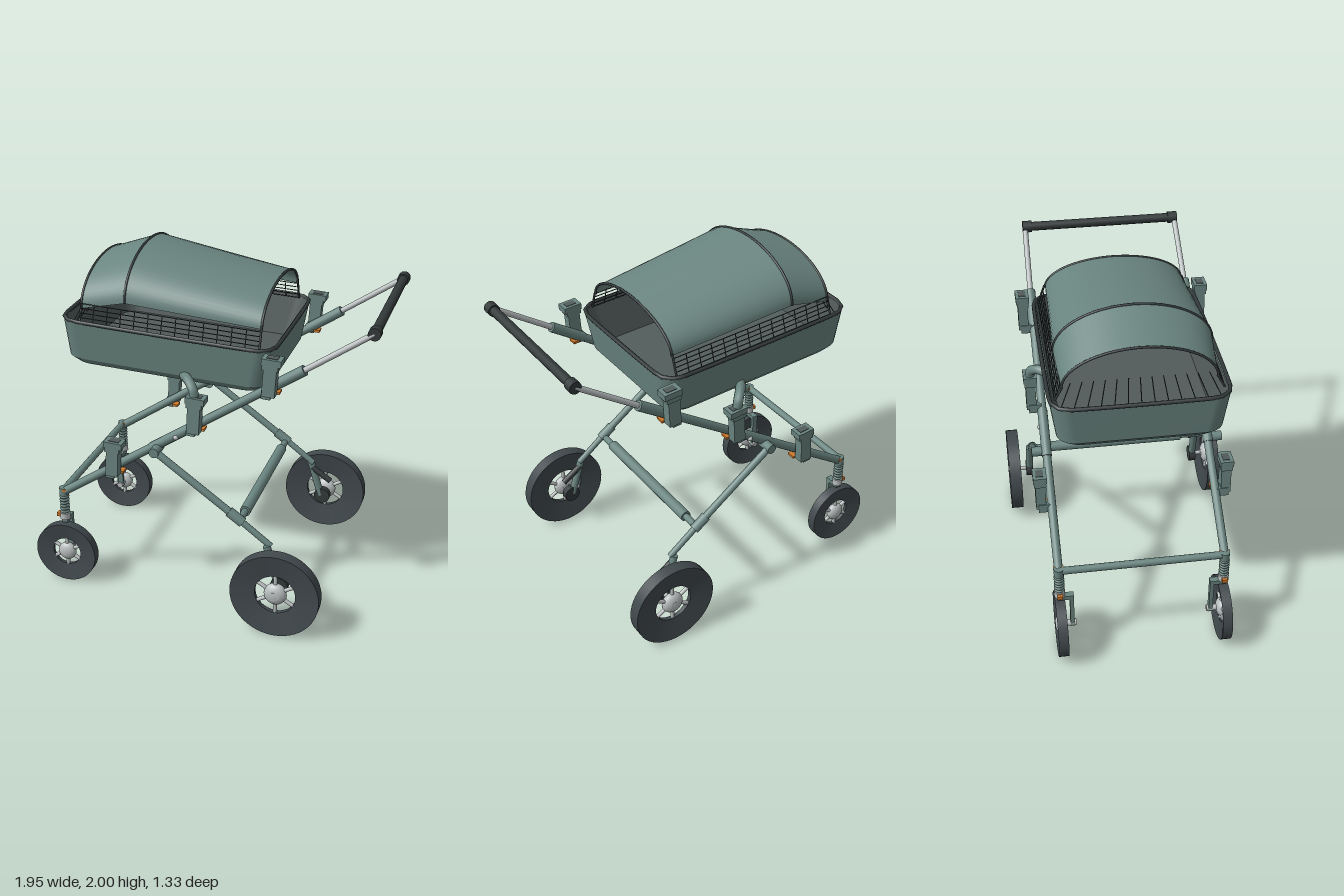
import * as THREE from 'three';

const mat = (name, color, side = THREE.FrontSide) => {
  const m = new THREE.MeshStandardMaterial({ color, side });
  m.name = name;
  return m;
};

export function createModel() {
  const root = new THREE.Group();
  root.name = 'stroller';
  const green = mat('sage green', 0x6a8580);
  const cloth = mat('sage cloth', 0x6a8580, THREE.DoubleSide);
  const lining = mat('dark lining', 0x525c5b, THREE.DoubleSide);
  const rubber = mat('tyre rubber', 0x41494d);
  const black = mat('black trim', 0x33393a);
  const metal = mat('light metal', 0xb9bebe);
  const orange = mat('orange', 0xd07a2c);

  const V = (x, y, z) => new THREE.Vector3(x, y, z);
  const add = (name, geo, m, parent = root) => {
    const mesh = new THREE.Mesh(geo, m);
    mesh.name = name;
    parent.add(mesh);
    return mesh;
  };
  // round bar between two points
  const bar = (name, a, b, r, m, parent = root, r2 = r, seg = 14) => {
    const d = b.clone().sub(a);
    const mesh = add(name, new THREE.CylinderGeometry(r2, r, d.length(), seg), m, parent);
    mesh.position.copy(a).addScaledVector(d, 0.5);
    mesh.quaternion.setFromUnitVectors(V(0, 1, 0), d.normalize());
    return mesh;
  };
  const box = (name, size, pos, m, parent = root) => {
    const mesh = add(name, new THREE.BoxGeometry(...size), m, parent);
    mesh.position.set(...pos);
    return mesh;
  };
  const ball = (name, r, pos, m, parent = root) => {
    const mesh = add(name, new THREE.SphereGeometry(r, 18, 12), m, parent);
    mesh.position.set(...pos);
    return mesh;
  };
  // surface through equal-length rows of points
  const loft = (rows) => {
    const n = rows[0].length, pos = [], idx = [];
    rows.forEach((row) => row.forEach((p) => pos.push(p.x, p.y, p.z)));
    for (let j = 0; j < rows.length - 1; j++) for (let i = 0; i < n - 1; i++) {
      const a = j * n + i, b = a + n;
      idx.push(a, b, a + 1, b, b + 1, a + 1);
    }
    const g = new THREE.BufferGeometry();
    g.setAttribute('position', new THREE.Float32BufferAttribute(pos, 3));
    g.setIndex(idx);
    g.computeVertexNormals();
    return g;
  };
  const tube = (name, pts, r, m, closed = false, parent = root) =>
    add(name, new THREE.TubeGeometry(new THREE.CatmullRomCurve3(pts, closed), 64, r, 8, closed), m, parent);

  // ---- tub: rounded rectangle sections, slightly tilted
  const tub = new THREE.Group();
  tub.name = 'tub';
  tub.position.set(-0.185, 1.355, 0);
  tub.rotation.z = -0.048;
  root.add(tub);
  const ring = (y, hx, hz, r) => {
    const pts = [];
    [[1, 1], [-1, 1], [-1, -1], [1, -1]].forEach(([sx, sz], q) => {
      for (let k = 0; k <= 6; k++) {
        const a = (q + k / 6) * Math.PI / 2;
        pts.push(V(sx * (hx - r) + r * Math.cos(a), y, sz * (hz - r) + r * Math.sin(a)));
      }
    });
    pts.push(pts[0].clone());
    return pts;
  };
  const low = ring(0, 0.535, 0.4, 0.1), mid = ring(0.035, 0.57, 0.43, 0.1), top = ring(0.255, 0.595, 0.46, 0.1);
  add('tubWall', loft([mid, top]), cloth, tub);
  add('tubChamfer', loft([low, mid]), cloth, tub);
  add('tubBottom', loft([low.map(() => V(0, 0, 0)), low]), cloth, tub);
  const inLow = ring(0.02, 0.53, 0.395, 0.09), inTop = ring(0.255, 0.58, 0.445, 0.09);
  add('tubLining', loft([inLow, inTop]), lining, tub);
  add('tubFloor', loft([inLow.map(() => V(0, 0.02, 0)), inLow]), lining, tub);
  tube('tubRim', ring(0.256, 0.592, 0.456, 0.1).slice(0, -1), 0.011, black, true, tub);

  // ---- hood: half-ellipse arches with trim
  const arch = (x, base, peak, w) => Array.from({ length: 33 }, (_, i) => {
    const a = Math.PI * i / 32;
    return V(x, base + (peak - base) * Math.sin(a), w * Math.cos(a));
  });
  const arches = [arch(-0.655, 1.69, 1.9, 0.395), arch(-0.4, 1.75, 1.99, 0.41), arch(0.345, 1.68, 1.845, 0.385)];
  add('hoodFront', loft([arches[0], arches[1]]), cloth);
  add('hoodBack', loft([arches[1], arches[2]]), cloth);
  arches.forEach((a) => tube('hoodTrim', a, 0.007, black));

  // ---- wire net below the hood
  const wire = (a, b) => bar('netWire', a, b, 0.0028, black, root, 0.0028, 5);
  const rimY = (x) => 1.602 - 0.048 * (x + 0.165);
  for (const s of [-1, 1]) {
    const at = (x, t) => V(x, rimY(x) + 0.095 * t, s * (0.43 - 0.03 * t));
    for (let k = 0; k < 5; k++) wire(at(-0.655, k / 4), at(0.345, k / 4));
    for (let k = 0; k <= 13; k++) wire(at(-0.655 + k / 13, 0), at(-0.655 + k / 13, 1));
    for (const x of [-0.655, 0.345])
      bar('hoodPost', at(x, 0), V(x, x < 0 ? 1.7 : 1.69, s * 0.39), 0.006, black);
  }
  for (let k = -6; k <= 6; k++) wire(V(-0.71, 1.6, k * 0.068), V(-0.65, 1.72, k * 0.058));

  // ---- wheel: dished tyre, hub and spokes, axle along z
  const wheel = (name, x, z, R, hole, half, hub) => {
    const g = new THREE.Group();
    g.name = name;
    g.position.set(x, R, z);
    root.add(g);
    const e = half * 0.35;
    const quad = [[hole, -e], [R, -half], [R, half], [hole, e], [hole, -e]];
    for (let i = 0; i < 4; i++) { // separate bands keep the edges sharp
      const band = quad.slice(i, i + 2).map(([r, y]) => new THREE.Vector2(r, y));
      add('tyre', new THREE.LatheGeometry(band, 48), rubber, g).rotation.x = Math.PI / 2;
    }
    ball('hub', hub, [0, 0, 0], metal, g).scale.z = 0.6;
    for (let k = 0; k < 6; k++) {
      const a = (k + 0.5) * Math.PI / 3;
      bar('spoke', V(0, 0, 0), V(Math.cos(a) * hole * 1.04, Math.sin(a) * hole * 1.04, 0), 0.011, metal, g);
    }
    bar('hubCap', V(0, 0, -half), V(0, 0, half), hub * 0.4, metal, g);
  };

  // ---- upright clamp bracket
  const bracket = (x, y, s) => {
    const g = new THREE.Group();
    g.name = 'bracket';
    g.position.set(x, y, s * 0.515);
    g.rotation.z = -0.06;
    root.add(g);
    box('bracketBody', [0.07, 0.17, 0.055], [0, -0.02, 0], green, g);
    box('bracketNeck', [0.085, 0.03, 0.065], [0, 0.06, 0], green, g);
    box('bracketCap', [0.105, 0.035, 0.075], [0.005, 0.09, 0], green, g);
    box('socket', [0.06, 0.004, 0.04], [0.005, 0.1085, 0], lining, g);
    box('bracketFoot', [0.05, 0.05, 0.07], [-0.015, -0.1, -s * 0.02], green, g);
    box('button', [0.035, 0.014, 0.05], [0.03, -0.1, -s * 0.055], orange, g);
  };

  for (const s of [-1, 1]) {
    const z = s * 0.457, zl = s * 0.512;
    // main rail with sliding handle tube
    bar('rail', V(-0.79, 0.585, z), V(0.58, 1.505, z), 0.024, green);
    bar('railCollar', V(0.4, 1.385, z), V(0.595, 1.515, z), 0.029, green);
    bar('railSleeve', V(-0.25, 0.948, z), V(-0.02, 1.102, z), 0.028, green);
    bar('handleTube', V(0.58, 1.505, z), V(0.94, 1.75, s * 0.45), 0.016, metal);
    bar('handleEnd', V(0.94, 1.75, s * 0.41), V(0.94, 1.75, s * 0.465), 0.034, black);
    ball('railPin', 0.015, [-0.1, 1.04, s * 0.48], metal);

    // rear leg and axle arm
    bar('legPivot', V(-0.21, 0.955, s * 0.44), V(-0.21, 0.955, s * 0.54), 0.028, green);
    bar('rearLeg', V(-0.22, 0.96, zl), V(0.27, 0.61, zl), 0.021, green);
    bar('legCollar', V(0.21, 0.652, zl), V(0.29, 0.595, zl), 0.029, green);
    bar('legEnd', V(0.27, 0.61, zl), V(0.45, 0.475, zl), 0.018, green);
    bar('axleArm', V(0.43, 0.48, s * 0.525), V(0.5, 0.25, s * 0.53), 0.022, green);
    bar('brakeDrum', V(0.51, 0.25, s * 0.51), V(0.51, 0.25, s * 0.55), 0.05, black);
    bar('rearAxle', V(0.51, 0.25, s * 0.52), V(0.51, 0.25, s * 0.63), 0.013, metal);
    bar('brakeLever', V(0.44, 0.44, s * 0.52), V(0.56, 0.36, s * 0.52), 0.018, black);
    wheel('rearWheel', 0.51, s * 0.625, 0.25, 0.115, 0.036, 0.065);

    // front suspension, one-sided fork and caster wheel
    bar('springPost', V(-0.797, 0.4, z), V(-0.797, 0.58, z), 0.016, green);
    for (let k = 0; k < 6; k++) {
      const coil = add('springCoil', new THREE.TorusGeometry(0.021, 0.008, 6, 18), green);
      coil.position.set(-0.797, 0.455 + k * 0.019, z);
      coil.rotation.x = Math.PI / 2;
    }
    bar('springCap', V(-0.797, 0.56, z), V(-0.797, 0.608, z), 0.027, green);
    bar('casterCollar', V(-0.797, 0.405, z), V(-0.797, 0.445, z), 0.03, metal);
    box('casterButton', [0.022, 0.022, 0.03], [-0.833, 0.428, z], orange);
    box('railClip', [0.02, 0.014, 0.056], [-0.785, 0.6, z], orange);
    box('forkTop', [0.035, 0.026, 0.09], [-0.797, 0.395, s * 0.425], green);
    box('forkArm', [0.035, 0.225, 0.022], [-0.797, 0.285, s * 0.392], green);
    bar('frontAxle', V(-0.797, 0.185, s * 0.37), V(-0.797, 0.185, z), 0.018, metal);
    wheel('frontWheel', -0.797, z, 0.184, 0.085, 0.028, 0.055);

    // brackets and tub support arm
    bracket(-0.455, 0.88, s);
    bracket(0.02, 1.21, s);
    bracket(0.43, 1.48, s);
    tube('tubArm', [V(-0.07, 1.385, s * 0.42), V(-0.03, 1.385, s * 0.47), V(0.01, 1.35, s * 0.51),
      V(0.02, 1.29, s * 0.515)], 0.027, green);
  }

  // ---- cross members and grip
  bar('frontCrossbar', V(-0.797, 0.59, -0.46), V(-0.797, 0.59, 0.46), 0.021, green);
  bar('rearCrossbar', V(0.27, 0.6, -0.5), V(0.27, 0.6, 0.5), 0.02, green);
  bar('rearCrossbarSleeve', V(0.27, 0.6, -0.4), V(0.27, 0.6, 0.4), 0.031, green);
  bar('grip', V(0.94, 1.75, -0.43), V(0.94, 1.75, 0.43), 0.026, black);

  return root;
}
